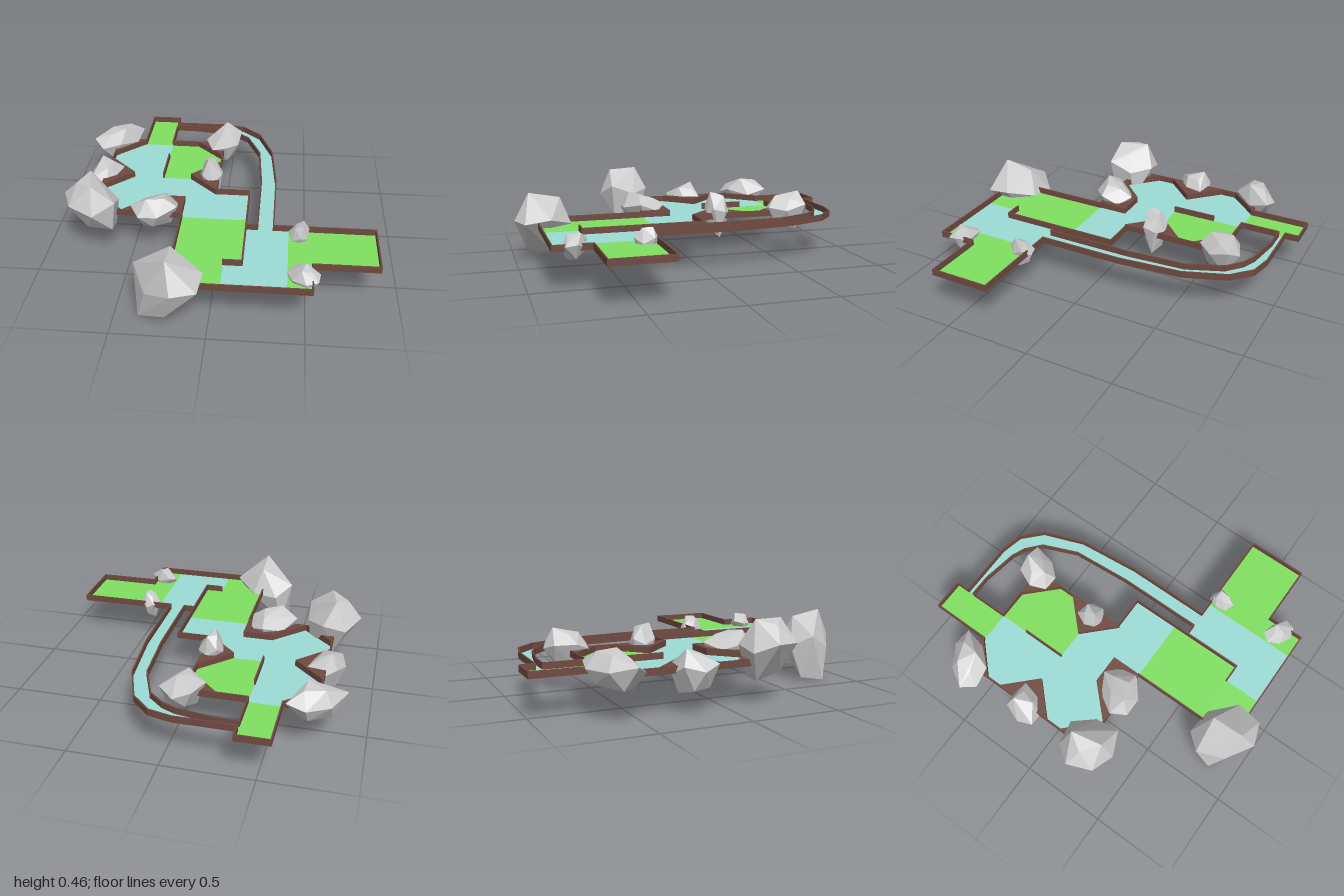
import * as THREE from 'three';
import { ConvexGeometry } from 'three/addons/geometries/ConvexGeometry.js';

const BASE = 0.215, TOP = 0.253, WALL = 0.008, CUT = 0.175;
const mat = (color, side = THREE.FrontSide) =>
  new THREE.MeshStandardMaterial({ color, side, flatShading: true });
const green = mat(0x80e060, THREE.DoubleSide);
const blue = mat(0x9cdcd6, THREE.DoubleSide);
const brown = mat(0x704a40);
const grey = mat(0xcccccc);

// Shape on the ground from [x, z] corners
const planShape = (pts) => new THREE.Shape(pts.map(([x, z]) => new THREE.Vector2(x, -z)));
const rect = (x0, z0, x1, z1) => [[x0, z0], [x1, z0], [x1, z1], [x0, z1]];

function floor(name, pts, material) {
  const mesh = new THREE.Mesh(new THREE.ShapeGeometry(planShape(pts)).rotateX(-Math.PI / 2), material);
  mesh.position.y = BASE + 0.002;
  mesh.name = name;
  return mesh;
}

function block(pts) {
  const geo = new THREE.ExtrudeGeometry(planShape(pts), { depth: TOP - BASE, bevelEnabled: false });
  const mesh = new THREE.Mesh(geo.rotateX(-Math.PI / 2), brown);
  mesh.position.y = BASE;
  mesh.name = 'cornerBlock';
  return mesh;
}

// Triangular block with its right angle at (x, z), legs running along sx and sz
const cornerBlock = (x, z, sx, sz) => block([[x, z], [x + sx * CUT, z], [x, z + sz * CUT]]);

// Thin border boards along a path of [x, z] points
function border(name, pts) {
  const group = new THREE.Group();
  group.name = name;
  for (let i = 0; i + 1 < pts.length; i++) {
    const [x0, z0] = pts[i], [x1, z1] = pts[i + 1];
    const length = Math.hypot(x1 - x0, z1 - z0);
    const board = new THREE.Mesh(new THREE.BoxGeometry(length + WALL, TOP - BASE, WALL), brown);
    board.position.set((x0 + x1) / 2, (BASE + TOP) / 2, (z0 + z1) / 2);
    board.rotation.y = -Math.atan2(z1 - z0, x1 - x0);
    board.name = 'borderBoard';
    group.add(board);
  }
  return group;
}

// Faceted boulder: uneven rings scaled to a size; skew slants the plan, lean pushes the underside in x
function boulder([x, y, z], [w, h, d], skew, lean, seed) {
  const rings = [[0.5, 0.45, 4], [0.97, 0.1, 7], [0.6, -0.45, 4]];
  const points = [];
  rings.forEach(([radius, level, sides], r) => {
    for (let i = 0; i < sides; i++) {
      const a = (i / sides) * Math.PI * 2 + seed * 0.9 + r * 0.5;
      const wave = Math.sin(i * 2.4 + seed * 1.7 + r);
      const k = radius * (1 + 0.07 * wave);
      points.push(new THREE.Vector3(
        k * Math.cos(a) + (r === 2 ? lean : 0), level + 0.12 * wave, k * Math.sin(a + skew)));
    }
  });
  const box = new THREE.Box3().setFromPoints(points);
  const size = box.getSize(new THREE.Vector3());
  const centre = box.getCenter(new THREE.Vector3());
  const scale = new THREE.Vector3(w, h, d).divide(size);
  points.forEach((p) => p.sub(centre).multiply(scale));
  const mesh = new THREE.Mesh(new ConvexGeometry(points), grey);
  mesh.position.set(x, y, z);
  mesh.name = 'boulder';
  return mesh;
}

export function createModel() {
  const model = new THREE.Group();
  model.name = 'miniGolfCourse';

  // Curved side lane edges
  const outer = [[-.385, -.92], [-.05, -.92], [.08, -.89], [.19, -.785], [.28, -.545], [.315, -.18], [.315, .315]];
  const inner = [[-.385, -.88], [-.26, -.88], [-.05, -.845], [.03, -.81], [.115, -.735], [.2, -.53], [.225, -.18], [.225, .315]];

  // Playing surfaces
  model.add(
    floor('startFloor', rect(-.565, -1, -.385, -.65), green),
    floor('upperGreenFloor', rect(-.385, -.65, -.04, -.215), green),
    floor('upperBlueFloor', rect(-.74, -.65, -.385, -.215), blue),
    floor('middleBlueFloor', rect(-.74, -.215, -.04, .225), blue),
    floor('passageFloor', rect(-.04, -.05, .16, .225), blue),
    floor('lowerGreenFloor', rect(-.215, .225, .16, .66), green),
    floor('frontGreenFloor', rect(-.215, .66, .06, .875), green),
    floor('frontBlueFloor', rect(.06, .66, .4, .875), blue),
    floor('lowerBlueFloor', rect(.16, .315, .4, .66), blue),
    floor('endFloor', rect(.4, .315, .885, .66), green),
    floor('frontEndFloor', rect(.4, .66, .53, .875), green),
    floor('sideLaneFloor', [...outer, ...inner.slice().reverse()], blue),
  );

  // Solid corner blocks, mirrored front to back on the side walls
  for (const s of [1, -1]) {
    model.add(cornerBlock(-.74, -.215, 1, s), cornerBlock(-.04, -.215, -1, s));
    model.add(cornerBlock(-.74, -.2125 + s * .4375, 1, -s));
  }
  model.add(
    cornerBlock(-.04, -.65, -1, 1),
    cornerBlock(-.39, .225, -1, -1),
    block(rect(-.39, .05, -.215, .225)),
  );

  // Borders and dividers
  model.add(
    border('leftBorder', [[-.385, -.92], [-.385, -1], [-.565, -1], [-.565, -.65], [-.74, -.65], [-.74, .225],
      [-.215, .225]]),
    border('frontBorder', [[-.215, .225], [-.215, .875], [.53, .875], [.53, .66], [.885, .66], [.885, .315], [.315, .315]]),
    border('rightBorder', [[-.385, -.88], [-.385, -.65], [-.04, -.65], [-.04, -.05], [.16, -.05], [.16, .66], [.06, .66]]),
    border('laneEntryBorder', [[.16, .315], [.225, .315]]),
    border('upperDivider', [[-.385, -.47], [-.385, -.215]]),
    border('laneOuterBorder', outer),
    border('laneInnerBorder', inner),
  );

  // Boulders around the course: centre, size, skew, lean, seed
  model.add(
    boulder([-.74, .255, -.622], [.3, .21, .265], -.5, 0, 1),
    boulder([-.042, .255, -.652], [.225, .23, .245], -.25, 0, 2),
    boulder([-.742, .215, -.2], [.205, .25, .22], -.25, 0, 3),
    boulder([-.085, .237, -.212], [.14, .275, .145], 0, 0, 4),
    boulder([-.732, .295, .242], [.315, .33, .305], .1, .3, 5),
    boulder([-.375, .245, .188], [.27, .21, .255], -.3, 0, 6),
    boulder([-.215, .202, .828], [.37, .405, .345], .3, -.4, 7),
    boulder([.457, .22, .367], [.115, .17, .145], 0, 0, 8),
    boulder([.482, .23, .752], [.175, .14, .145], .3, 0, 9),
  );
  return model;
}
